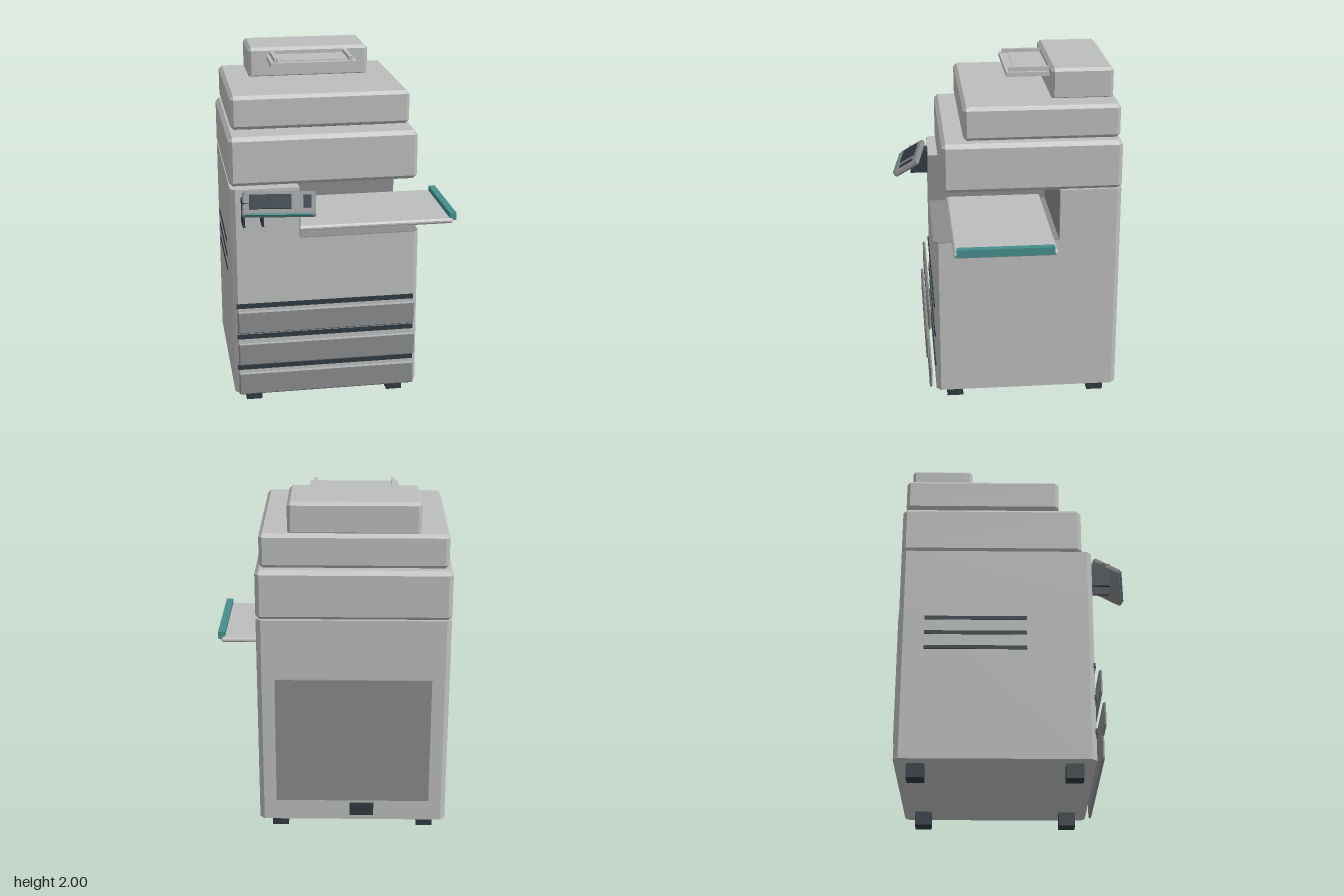
import * as THREE from 'three';
import { ConvexGeometry } from 'three/addons/geometries/ConvexGeometry.js';

const mat = (name, color) => {
  const m = new THREE.MeshStandardMaterial({ color });
  m.name = name;
  return m;
};

export function createModel() {
  const casing = mat('light grey casing', 0xbcbebd);
  const trim = mat('mid grey trim', 0x8a8b8d);
  const dark = mat('dark slate', 0x303a42);
  const teal = mat('teal accent', 0x468f8d);

  const model = new THREE.Group();
  model.name = 'officeCopier';

  const add = (name, geometry, material, parent = model) => {
    const mesh = new THREE.Mesh(geometry, material);
    mesh.name = name;
    parent.add(mesh);
    return mesh;
  };

  // Box given by its limits on each axis
  const box = (name, m, [x0, x1], [y0, y1], [z0, z1], parent) => {
    const g = new THREE.BoxGeometry(x1 - x0, y1 - y0, z1 - z0);
    g.translate((x0 + x1) / 2, (y0 + y1) / 2, (z0 + z1) / 2);
    return add(name, g, m, parent);
  };

  // Box with every edge chamfered by c
  const chamferBox = (name, m, [x0, x1], [y0, y1], [z0, z1], c, parent) => {
    const h = [(x1 - x0) / 2, (y1 - y0) / 2, (z1 - z0) / 2];
    const points = [];
    for (const sx of [-1, 1]) for (const sy of [-1, 1]) for (const sz of [-1, 1]) {
      for (let full = 0; full < 3; full++) {
        const d = h.map((v, i) => (i === full ? v : v - c));
        points.push(new THREE.Vector3(sx * d[0], sy * d[1], sz * d[2]));
      }
    }
    const g = new ConvexGeometry(points);
    g.translate((x0 + x1) / 2, (y0 + y1) / 2, (z0 + z1) / 2);
    return add(name, g, m, parent);
  };

  // Upright prism from an (x, z) footprint
  const prism = (name, m, footprint, y0, y1) => {
    const shape = new THREE.Shape(footprint.map(([x, z]) => new THREE.Vector2(x, -z)));
    const g = new THREE.ExtrudeGeometry(shape, { depth: y1 - y0, bevelEnabled: false });
    g.rotateX(-Math.PI / 2);
    g.translate(0, y0, 0);
    return add(name, g, m);
  };

  // Cabinet: full lower part, L-shaped upper part around the output recess
  const L = -0.67, R = 0.415, F = 0.44, B = -0.645, c = 0.027;
  const backEdge = [[R, B + c], [R - c, B], [L + c, B], [L, B + c]];
  prism('cabinet', casing, [[L, F - c], [L + c, F], [R - c, F], [R, F - c], ...backEdge], 0.08, 1.035);
  prism('upperCabinet', casing,
    [[L, F - c], [L + c, F], [-0.28, F], [-0.28, -0.29], [R, -0.29], ...backEdge], 1.035, 1.337);

  // Recess lining
  prism('recessFloor', trim, [[-0.28, F], [R - c, F], [R, F - c], [R, -0.29], [-0.28, -0.29]], 1.035, 1.039);
  box('recessSideWall', trim, [-0.28, -0.276], [1.037, 1.335], [-0.29, F]);
  box('recessBackWall', trim, [-0.28, R], [1.037, 1.335], [-0.29, -0.286]);
  box('paperOutlet', dark, [-0.277, -0.268], [1.15, 1.23], [-0.23, 0.35]);

  // Output tray with stop
  chamferBox('outputTray', casing, [-0.276, 0.65], [1.034, 1.064], [-0.25, 0.335], 0.01);
  box('outputTrayStop', teal, [0.63, 0.67], [1.05, 1.095], [-0.23, 0.32]);

  // Scanner, lid and document feeder
  chamferBox('scannerUnit', casing, [L, R], [1.335, 1.622], [B, 0.385], 0.023);
  box('lidHinge', dark, [-0.56, 0.3], [1.615, 1.64], [-0.55, 0.2]);
  chamferBox('scannerLid', casing, [-0.645, 0.39], [1.633, 1.828], [-0.63, 0.26], 0.02);
  chamferBox('documentFeeder', casing, [-0.49, 0.235], [1.815, 2], [-0.61, -0.253], 0.018);
  box('feederTray', casing, [-0.38, 0.125], [1.93, 1.955], [-0.26, -0.005]);
  box('feederTrayPad', casing, [-0.338, 0.083], [1.95, 1.96], [-0.26, -0.055]);
  for (const x of [-0.36, 0.082]) {
    box('feederTrayGuide', casing, [x, x + 0.022], [1.95, 1.98], [-0.26, -0.022]);
  }

  // Paper drawers with dark grip strips above
  [[0.085, 0.463], [0.28, 0.479], [0.472, 0.463]].forEach(([y, z]) => {
    chamferBox('paperDrawer', trim, [-0.65, 0.39], [y, y + 0.14], [z, z + 0.017], 0.008);
    box('drawerGrip', dark, [-0.652, 0.39], [y + 0.147, y + 0.175], [0.435, 0.446]);
  });

  // Feet
  for (const x of [-0.6, 0.25]) for (const z of [-0.578, 0.277]) {
    box('foot', dark, [x, x + 0.094], [0, 0.082], [z, z + 0.096]);
  }

  // Back cover, power socket and side vents
  box('backCover', trim, [-0.57, 0.315], [0.21, 0.98], [-0.655, -0.64]);
  box('powerSocket', dark, [-0.25, -0.11], [0.11, 0.19], [-0.652, -0.64]);
  for (const y of [0.73, 0.82, 0.91]) {
    box('sideVent', dark, [-0.674, -0.665], [y - 0.011, y + 0.011], [-0.5, 0.07]);
  }

  // Control panel bracket
  for (const x of [-0.612, -0.506]) {
    box('panelBracketArm', dark, [x, x + 0.013], [1.15, 1.29], [0.435, 0.548]);
  }
  box('panelBracketTop', dark, [-0.612, -0.493], [1.27, 1.293], [0.435, 0.548]);

  // Tilted control panel
  const panel = new THREE.Group();
  panel.name = 'controlPanel';
  panel.position.set(-0.409, 1.28, 0.553);
  panel.rotation.set(0.55, -0.125, 0, 'YXZ');
  model.add(panel);
  chamferBox('panelBody', trim, [-0.205, 0.205], [-0.018, 0.018], [-0.087, 0.087], 0.009, panel);
  box('panelScreen', dark, [-0.165, 0.07], [0.016, 0.022], [-0.055, 0.05], panel);
  box('panelKeypad', dark, [0.135, 0.18], [0.016, 0.022], [-0.05, 0.04], panel);
  box('panelAccent', teal, [-0.185, 0.185], [0.002, 0.016], [0.076, 0.09], panel);

  return model;
}
